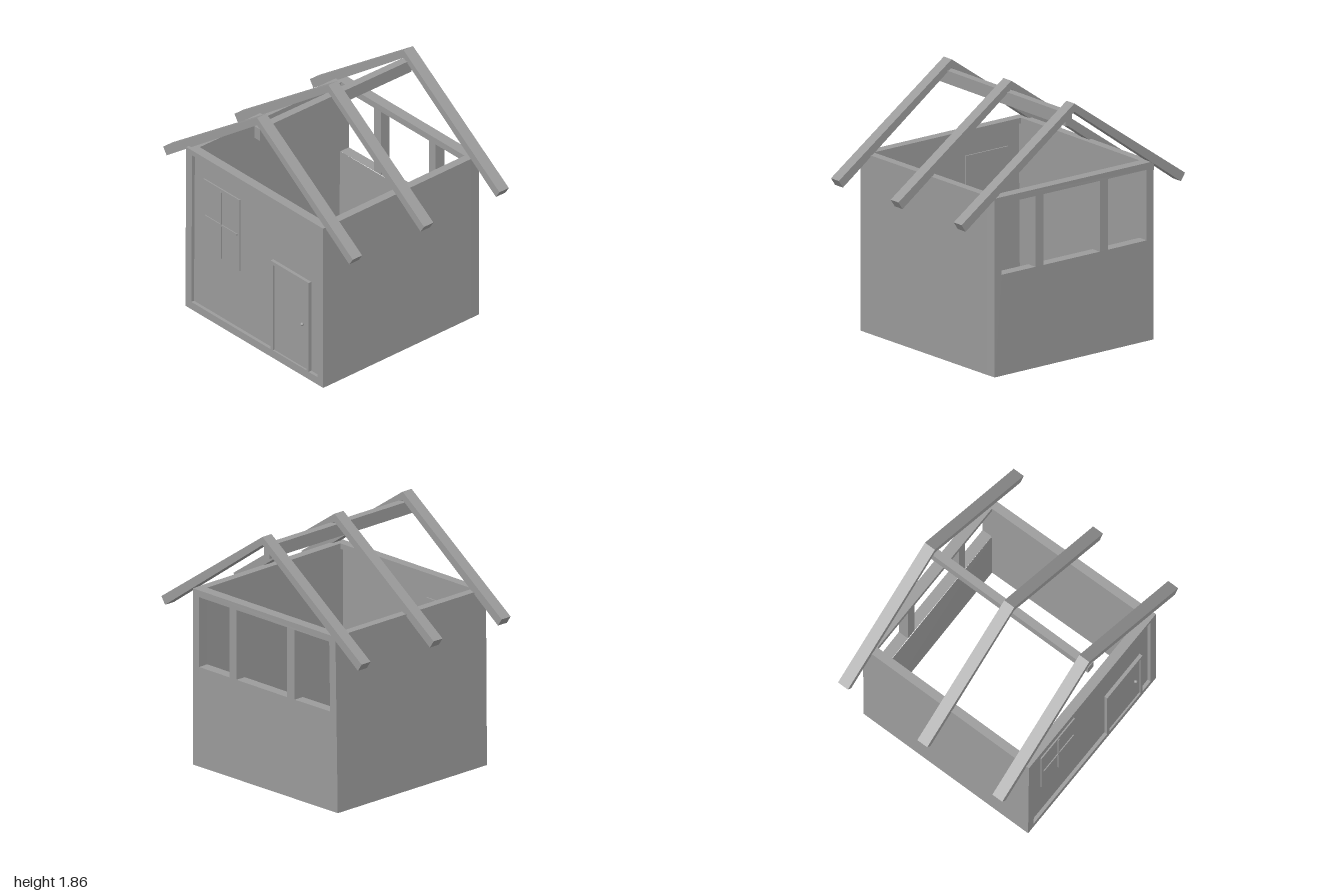
import * as THREE from 'three';

const mat = new THREE.MeshStandardMaterial({ color: 0x9b9b9b, flatShading: true });

// Slightly crooked hand-built walls: the right side leans in, the left narrows to the back
function lean(geo) {
  const p = geo.attributes.position;
  for (let i = 0; i < p.count; i++) {
    const x = p.getX(i), t = p.getY(i) / 1.3, z = p.getZ(i);
    if (x < -0.6) {
      p.setX(i, x + 0.01 * t);
      if (z < 0) p.setZ(i, z + 0.013 * (1 - t));
    }
    if (x > 0.6 && z < 0) p.setX(i, x + 0.02 * z / 0.73);
  }
  geo.computeVertexNormals();
  return geo;
}

function rect(path, [x0, x1, y0, y1]) {
  path.moveTo(x0, y0);
  path.lineTo(x1, y0);
  path.lineTo(x1, y1);
  path.lineTo(x0, y1);
  path.closePath();
  return path;
}

// Upright slab between z0 and z1 with rectangular openings
function slab(outer, holes, z0, z1) {
  const shape = rect(new THREE.Shape(), outer);
  holes.forEach(h => shape.holes.push(rect(new THREE.Path(), h)));
  return new THREE.ExtrudeGeometry(shape, { depth: z1 - z0, bevelEnabled: false }).translate(0, 0, z0);
}

function box(x0, x1, y0, y1, z0, z1) {
  return new THREE.BoxGeometry(x1 - x0, y1 - y0, z1 - z0)
    .translate((x0 + x1) / 2, (y0 + y1) / 2, (z0 + z1) / 2);
}

export function createModel() {
  const model = new THREE.Group();
  model.name = 'shed';
  const add = (name, geo, parent = model) => {
    const mesh = new THREE.Mesh(geo, mat);
    mesh.name = name;
    parent.add(mesh);
  };

  // Side walls
  add('rightWall', lean(box(-0.738, -0.675, 0, 1.3, -0.65, 0.66)));
  add('leftWall', lean(box(0.653, 0.716, 0, 1.3, -0.65, 0.66)));

  // Back wall with a three-bay opening between two posts
  const bays = [[-0.675, -0.32], [-0.245, 0.26], [0.33, 0.653]];
  add('backWall', lean(slab([-0.738, 0.716, 0, 1.3],
    bays.map(([a, b]) => [a, b, 0.735, 1.25]), -0.73, -0.65)));

  // Front wall: timber frame around a recessed panel
  const front = new THREE.Group();
  front.name = 'frontWall';
  model.add(front);
  add('frontFrame', lean(slab([-0.738, 0.716, 0, 1.3], [[-0.675, 0.655, 0.06, 1.26]], 0.66, 0.73)), front);
  add('frontPanel', slab([-0.68, 0.66, 0.055, 1.265], [[-0.565, -0.185, 0.53, 1.11]], 0.685, 0.705), front);

  // Window pane with crossed glazing bars on the outside
  const windowGroup = new THREE.Group();
  windowGroup.name = 'window';
  front.add(windowGroup);
  add('pane', box(-0.565, -0.185, 0.53, 1.11, 0.675, 0.715), windowGroup);
  add('uprightBar', box(-0.382, -0.368, 0.55, 1.09, 0.71, 0.722), windowGroup);
  add('crossBar', box(-0.545, -0.205, 0.813, 0.827, 0.71, 0.722), windowGroup);

  // Door, its frame and knob
  const door = new THREE.Group();
  door.name = 'door';
  front.add(door);
  add('doorFrame', slab([0.162, 0.563, 0.06, 0.785], [[0.186, 0.543, 0.062, 0.757]], 0.7, 0.73), door);
  add('doorLeaf', box(0.186, 0.543, 0.06, 0.757, 0.7, 0.717), door);
  add('doorKnob', new THREE.SphereGeometry(0.013, 12, 8).translate(0.49, 0.415, 0.727), door);

  // Ridge beam
  add('ridgeBeam', box(-0.03, 0.029, 1.69, 1.785, -0.69, 0.71));

  // Three rafter pairs, each half cut plumb at the apex
  const roof = new THREE.Group();
  roof.name = 'rafters';
  model.add(roof);
  for (const z of [-0.74, -0.042, 0.618]) {
    for (const s of [-1, 1]) {
      const pts = [[-0.01, 1.86], [s, 1.168], [s * 0.963, 1.113], [-0.01, 1.8]];
      const shape = new THREE.Shape(pts.map(([x, y]) => new THREE.Vector2(x, y)));
      add('rafter', new THREE.ExtrudeGeometry(shape, { depth: 0.087, bevelEnabled: false })
        .translate(0, 0, z), roof);
    }
  }
  return model;
}
